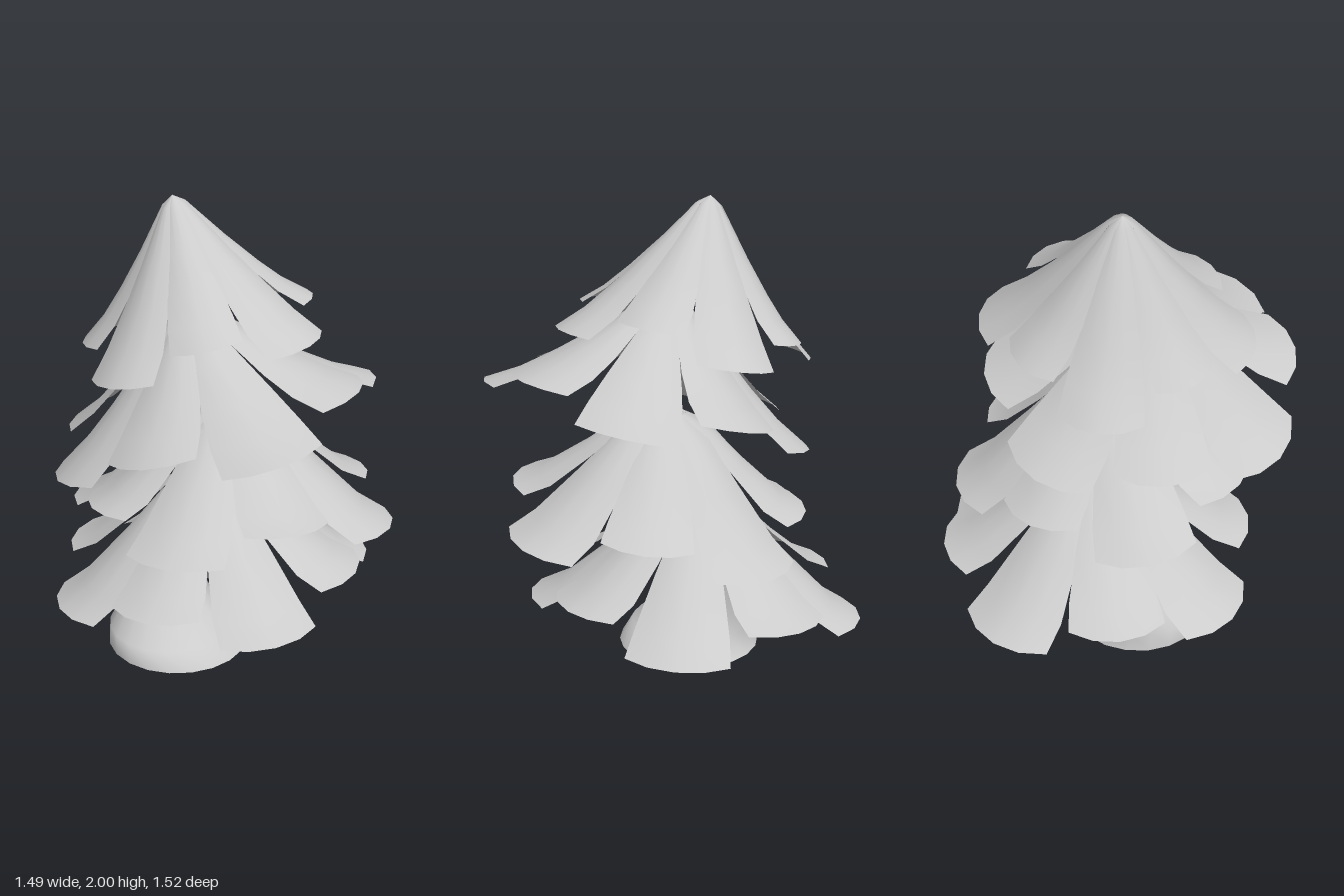
import * as THREE from 'three';

const material = new THREE.MeshStandardMaterial({ color: 0xcccccc, side: THREE.DoubleSide });

// Smooth sheet from a grid of points: point(i, j) for i in 0..rows, j in 0..cols
function sheet(name, rows, cols, point) {
  const positions = [], index = [];
  for (let i = 0; i <= rows; i++) {
    for (let j = 0; j <= cols; j++) {
      positions.push(...point(i, j));
      if (i < rows && j < cols) {
        const a = i * (cols + 1) + j, b = a + cols + 1;
        index.push(a, b, b + 1, a, b + 1, a + 1);
      }
    }
  }
  const geometry = new THREE.BufferGeometry();
  geometry.setAttribute('position', new THREE.Float32BufferAttribute(positions, 3));
  geometry.setIndex(index);
  geometry.computeVertexNormals();
  const mesh = new THREE.Mesh(geometry, material);
  mesh.name = name;
  return mesh;
}

// Fan-shaped bough: [share of reach, share of drop] down its length
const STRAIGHT = [[0, 0], [0.1, 0.06], [0.36, 0.38], [0.6, 0.65], [0.8, 0.85], [1, 1]];
const ARCHED = [[0, 0], [0.12, 0.03], [0.3, 0.16], [0.54, 0.51], [0.82, 0.87], [1, 1]];

// Neighbours touch near the hub and part towards the tips
function bough(profile, angle, reach, drop) {
  return sheet('bough', profile.length - 1, 4, (i, j) => {
    const s = j / 2 - 1;
    const [t, f] = profile[i];
    const halfAngle = THREE.MathUtils.degToRad(24 - 5.2 * t ** 3);
    const r = reach * t * (1 - 0.07 * s * s);
    const a = angle + s * halfAngle;
    return [r * Math.cos(a), -drop * f, -r * Math.sin(a)];
  });
}

// Tiers of eight boughs, alternating between two [reach, drop] sizes
const TIERS = [
  { name: 'topTier', apex: [-0.21, 2, -0.015], tiltX: 0, tiltZ: 0.21, start: 74.5,
    profile: STRAIGHT, sizes: [[0.56, 0.61], [0.48, 0.52]] },
  { name: 'upperTier', apex: [-0.1, 1.6, 0.1], tiltX: 0, tiltZ: 0.26, start: 0,
    profile: STRAIGHT, sizes: [[0.65, 0.44], [0.7, 0.53]] },
  { name: 'lowerTier', apex: [0.03, 1.14, -0.04], tiltX: -0.09, tiltZ: 0.05, start: 2.5,
    profile: ARCHED, sizes: [[0.7, 0.48], [0.62, 0.38]] },
  { name: 'bottomTier', apex: [-0.1, 0.755, -0.1], tiltX: 0, tiltZ: 0.06, start: 0,
    profile: ARCHED, sizes: [[0.665, 0.39], [0.71, 0.5]] },
];

function tier({ name, apex, tiltX, tiltZ, start, profile, sizes }) {
  const group = new THREE.Group();
  group.name = name;
  group.position.set(...apex);
  group.rotation.set(tiltX, 0, tiltZ);
  for (let k = 0; k < 8; k++) {
    const angle = THREE.MathUtils.degToRad(start + 45 * k);
    group.add(bough(profile, angle, ...sizes[k % 2]));
  }
  return group;
}

// Crooked trunk with a flared open foot: rings of [x, y, z, radius], top to bottom
const TRUNK = [
  [-0.2, 1.97, -0.01, 0.01], [-0.1, 1.57, 0.09, 0.04], [-0.04, 1.46, 0.07, 0.05],
  [0.04, 1.18, -0.03, 0.058], [0, 1.0, -0.07, 0.07], [-0.09, 0.75, -0.1, 0.1],
  [-0.24, 0.38, -0.085, 0.14], [-0.26, 0.19, -0.03, 0.172],
  [-0.2, 0.08, 0.08, 0.265], [-0.17, 0, 0.065, 0.305],
];

function trunk() {
  const sides = 20;
  return sheet('trunk', TRUNK.length - 1, sides, (i, j) => {
    const [x, y, z, r] = TRUNK[i];
    const a = (j % sides) / sides * Math.PI * 2;
    return [x + r * Math.cos(a), y, z - r * Math.sin(a)];
  });
}

export function createModel() {
  const tree = new THREE.Group();
  tree.name = 'pineTree';
  tree.add(trunk(), ...TIERS.map(tier));
  return tree;
}
